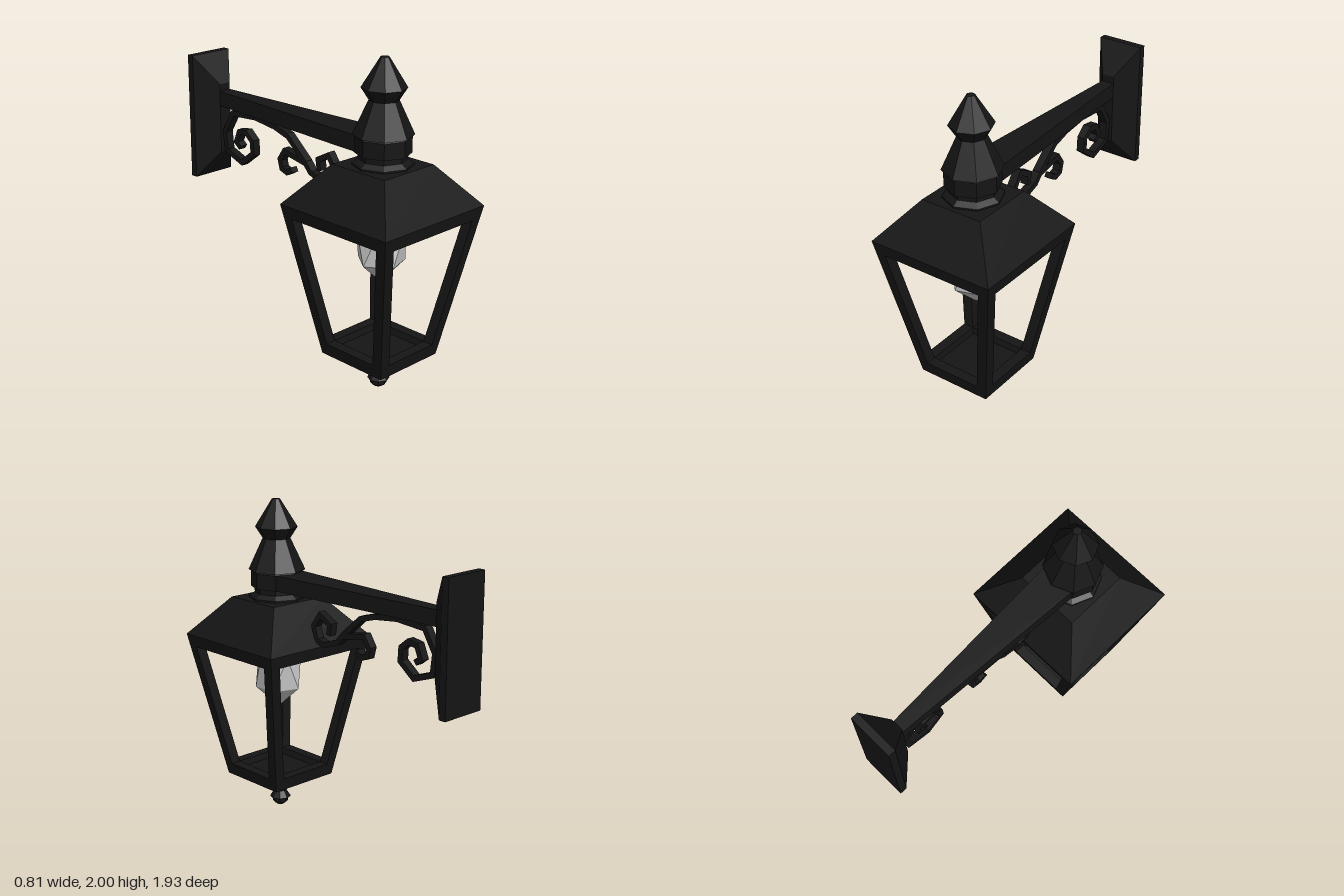
import * as THREE from 'three';

const LAMP_Z = 0.565;

// Box from y0 to y1 whose ends are rectangles [centreX, centreZ, width, depth]
function taper(y0, y1, bottom, top) {
  const g = new THREE.BoxGeometry(1, 1, 1);
  const p = g.attributes.position;
  for (let i = 0; i < p.count; i++) {
    const up = p.getY(i) > 0;
    const [cx, cz, w, d] = up ? top : bottom;
    p.setXYZ(i, cx + p.getX(i) * w, up ? y1 : y0, cz + p.getZ(i) * d);
  }
  g.computeVertexNormals();
  return g;
}

// Octagonal turned part from [radius, y] pairs, bottom to top
function turned(profile) {
  return new THREE.LatheGeometry(profile.map(([r, y]) => new THREE.Vector2(r, y)), 8);
}

// Flat iron strip following [z, y] points, mitred at the bends
function strip(points, width, depth) {
  const pts = points.map(([z, y]) => new THREE.Vector2(z, y));
  const left = [], right = [];
  pts.forEach((p, i) => {
    const a = pts[Math.max(i - 1, 0)], b = pts[Math.min(i + 1, pts.length - 1)];
    const d1 = (i ? p.clone().sub(a) : b.clone().sub(p)).normalize();
    const d2 = (i < pts.length - 1 ? b.clone().sub(p) : d1.clone()).normalize();
    const t = d1.clone().add(d2).normalize();
    const n = new THREE.Vector2(-t.y, t.x).multiplyScalar(width / 2 / Math.max(t.dot(d1), 0.6));
    left.push(p.clone().add(n));
    right.unshift(p.clone().sub(n));
  });
  const g = new THREE.ExtrudeGeometry(new THREE.Shape([...left, ...right]), { depth, bevelEnabled: false });
  g.translate(0, 0, -depth / 2);
  g.rotateY(-Math.PI / 2);
  return g;
}

export function createModel() {
  const model = new THREE.Group();
  model.name = 'wallLantern';
  const iron = new THREE.MeshStandardMaterial({ color: 0x151515, flatShading: true });
  const glass = new THREE.MeshStandardMaterial({ color: 0xcccccc, flatShading: true });
  const add = (parent, name, geometry, material = iron) => {
    const mesh = new THREE.Mesh(geometry, material);
    mesh.name = name;
    parent.add(mesh);
    return mesh;
  };

  const lantern = new THREE.Group();
  lantern.name = 'lantern';
  lantern.position.z = LAMP_Z;
  model.add(lantern);

  // Frame: sides lean outwards, half width depends on height
  const half = y => 0.235 + (y - 0.22) * (0.405 - 0.235) / (1.15 - 0.22);
  const T = 0.066;
  const rail = (name, y0, y1) => {
    const end = y => [0, half(y) - T / 2, 2 * half(y), T];
    for (let i = 0; i < 4; i++) add(lantern, name, taper(y0, y1, end(y0), end(y1))).rotation.y = i * Math.PI / 2;
  };
  rail('topRail', 1.075, 1.15);
  rail('bottomRail', 0.22, 0.3);
  for (const sx of [-1, 1]) for (const sz of [-1, 1]) {
    const end = y => [sx * (half(y) - T / 2), sz * (half(y) - T / 2), T, T];
    add(lantern, 'cornerPost', taper(0.3, 1.075, end(0.3), end(1.075)));
  }
  add(lantern, 'floor', taper(0.222, 0.26, [0, 0, 0.4, 0.4], [0, 0, 0.4, 0.4]));
  add(lantern, 'roof', taper(1.15, 1.39, [0, 0, 0.81, 0.81], [0, 0, 0.4, 0.4]));

  // Turned ornaments above and below
  add(lantern, 'topFinial', turned([
    [0.175, 1.385], [0.175, 1.4], [0.14, 1.425], [0.14, 1.46], [0.162, 1.46], [0.162, 1.555],
    [0.15, 1.565], [0.175, 1.565], [0.085, 1.76], [0.13, 1.83], [0.025, 2], [0, 2],
  ]));
  add(lantern, 'bottomFinial', turned([
    [0, 0], [0.025, 0.012], [0.048, 0.03], [0.05, 0.055], [0.065, 0.06], [0.065, 0.066], [0.04, 0.105],
    [0.04, 0.118], [0.057, 0.122], [0.057, 0.185], [0.08, 0.19], [0.12, 0.222],
  ]));

  // Faceted bulb hanging from the roof, one vertex pointing down
  const bulb = new THREE.IcosahedronGeometry(1, 0);
  bulb.rotateX(-Math.atan((1 + Math.sqrt(5)) / 2));
  bulb.rotateY(Math.PI / 2);
  bulb.scale(0.162, 0.24, 0.162);
  bulb.translate(0, 0.92, 0);
  add(lantern, 'bulb', bulb, glass);

  // Bracket arm, narrowing towards the wall
  const bracket = new THREE.Group();
  bracket.name = 'bracket';
  model.add(bracket);
  const arm = taper(-0.8, LAMP_Z, [0, -1.508, 0.08, 0.095], [0, -1.508, 0.23, 0.095]);
  arm.rotateX(Math.PI / 2);
  add(bracket, 'arm', arm);

  // Wall plate: slab plus bevelled front
  const back = [0, -1.38, 0.29, 0.79];
  for (const [name, z0, z1, front] of [
    ['wallPlate', -0.965, -0.92, back],
    ['wallPlateBevel', -0.92, -0.79, [0, -1.38, 0.08, 0.44]],
  ]) {
    const g = taper(z0, z1, back, front);
    g.rotateX(Math.PI / 2);
    add(bracket, name, g);
  }

  // Scrollwork under the arm
  add(bracket, 'mainScroll', strip([
    [0.08, 1.24], [0.07, 1.305], [0.155, 1.35], [0.21, 1.275], [0.18, 1.19], [0.12, 1.17], [0.005, 1.21],
    [-0.05, 1.27], [-0.19, 1.39], [-0.31, 1.425], [-0.48, 1.445], [-0.69, 1.43], [-0.77, 1.3],
    [-0.755, 1.175], [-0.615, 1.125], [-0.51, 1.205], [-0.515, 1.285], [-0.57, 1.33], [-0.635, 1.32],
    [-0.665, 1.25], [-0.625, 1.22],
  ], 0.034, 0.05));
  add(bracket, 'branchScroll', strip([
    [-0.03, 1.255], [-0.22, 1.29], [-0.26, 1.23], [-0.245, 1.175], [-0.2, 1.16], [-0.155, 1.185],
  ], 0.034, 0.05));

  return model;
}
